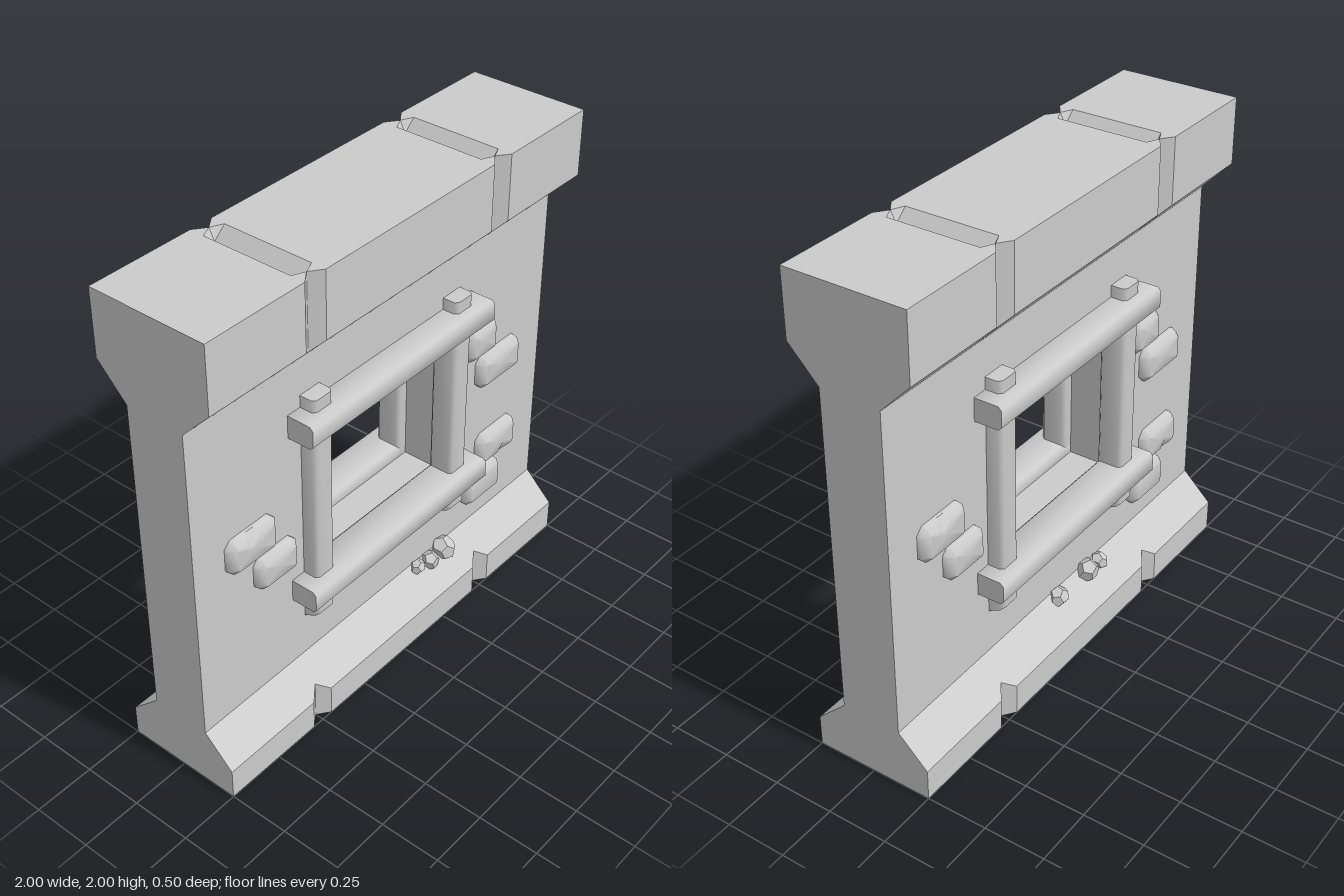
import * as THREE from 'three';
import { toCreasedNormals } from 'three/addons/utils/BufferGeometryUtils.js';

const grey = new THREE.MeshStandardMaterial({ color: 0xcccccc });
const faceted = new THREE.MeshStandardMaterial({ color: 0xcccccc, flatShading: true });
const shell = new THREE.MeshStandardMaterial({ color: 0xcccccc, side: THREE.DoubleSide });

function addMesh(group, name, geometry, material = grey) {
  const mesh = new THREE.Mesh(geometry, material);
  mesh.name = name;
  group.add(mesh);
  return mesh;
}

// Collects flat polygons (fans of corners) into one geometry
function polygons() {
  const out = [];
  return {
    face(corners, flip = false) {
      const c = flip ? [...corners].reverse() : corners;
      for (let i = 1; i < c.length - 1; i++) out.push(...c[0], ...c[i], ...c[i + 1]);
    },
    build() {
      const g = new THREE.BufferGeometry();
      g.setAttribute('position', new THREE.Float32BufferAttribute(out, 3));
      g.computeVertexNormals();
      return g;
    },
  };
}

// Front half of the wall: flared base and cap with V grooves, window opening
function wallHalf() {
  const p = polygons();
  const T = 0.125, D = 0.25, N = 0.213, hx = 0.4, y0 = 0.6, y1 = 1.35;
  const plain = { base: [[D, 0], [D, 0.13], [T, 0.25]], cap: [[T, 1.6], [D, 1.73], [D, 2]] };
  const cut = { base: [[N, 0], [N, 0.166], [T, 0.25]], cap: [[T, 1.6], [N, 1.692], [N, 2]] };
  const stations = [-1, -0.55, -0.5, -0.45, 0.45, 0.5, 0.55, 1];
  const isCut = (x) => Math.abs(x) === 0.5;

  for (let i = 0; i < stations.length - 1; i++) {
    const a = stations[i], b = stations[i + 1];
    const A = isCut(a) ? cut : plain, B = isCut(b) ? cut : plain;
    for (const part of ['base', 'cap']) {
      for (let k = 0; k < 2; k++) {
        const [s, t] = [A[part][k], A[part][k + 1]];
        const [u, v] = [B[part][k], B[part][k + 1]];
        p.face([[a, s[1], s[0]], [b, u[1], u[0]], [b, v[1], v[0]], [a, t[1], t[0]]]);
      }
    }
    // top surface, with a sunken groove at each cut
    if (!isCut(a) && !isCut(b)) {
      p.face([[a, 2, 0], [a, 2, D], [b, 2, D], [b, 2, 0]]);
    } else {
      const flip = isCut(a), side = flip ? b : a, tip = flip ? a : b;
      const rim = 0.19, low = 1.955;
      p.face([[side, 2, rim], [side, 2, D], [tip, 2, N]], flip);
      p.face([[side, 2, 0], [side, 2, rim], [tip, low, rim], [tip, low, 0]], flip);
      p.face([[side, 2, rim], [tip, 2, N], [tip, low, rim]], flip);
    }
  }

  // flat face around the opening
  const panel = (xa, xb, ya, yb) => p.face([[xa, ya, T], [xb, ya, T], [xb, yb, T], [xa, yb, T]]);
  panel(-1, 1, 0.25, y0);
  panel(-1, 1, y1, 1.6);
  panel(-1, -hx, y0, y1);
  panel(hx, 1, y0, y1);

  // sides, sill and head of the opening
  for (const s of [-1, 1]) {
    p.face([[s * hx, y0, 0], [s * hx, y1, 0], [s * hx, y1, T], [s * hx, y0, T]], s < 0);
  }
  p.face([[-hx, y0, 0], [-hx, y0, T], [hx, y0, T], [hx, y0, 0]]);
  p.face([[-hx, y1, 0], [-hx, y1, T], [hx, y1, T], [hx, y1, 0]], true);

  // end faces
  for (const x of [-1, 1]) {
    p.face([[x, 0, 0], [x, 0.25, 0], [x, 0.25, T], [x, 0.13, D], [x, 0, D]], x > 0);
    p.face([[x, 0.25, 0], [x, 1.6, 0], [x, 1.6, T], [x, 0.25, T]], x > 0);
    p.face([[x, 1.6, 0], [x, 2, 0], [x, 2, D], [x, 1.73, D], [x, 1.6, T]], x > 0);
  }
  return p.build();
}

// Rectangle outline with cut corners, anticlockwise
function cutRect(w, h, c) {
  const x = w / 2, y = h / 2;
  return [[x, -y + c], [x, y - c], [x - c, y], [-x + c, y],
    [-x, y - c], [-x, -y + c], [-x + c, -y], [x - c, -y]];
}

// Squared timber with chamfered long edges, running along z
function timber(w, h, length) {
  const shape = new THREE.Shape(cutRect(w, h, 0.014).map(([x, y]) => new THREE.Vector2(x, y)));
  return new THREE.ExtrudeGeometry(shape, { depth: length, bevelEnabled: false })
    .translate(0, 0, -length / 2);
}

// Raised stone with sloping edges, optionally chipped on its upper edge
function brick(w, h, chipped) {
  const bevel = 0.026;
  const outer = cutRect(w, h, 0.028);
  const inner = cutRect(w - 2 * bevel, h - 2 * bevel, 0.008);
  if (chipped) {
    const offsets = [0.01, -0.025, -0.06];
    outer.splice(3, 0, ...offsets.map((x) => [x, h / 2]));
    inner.splice(3, 0, ...offsets.map((x, i) => [x, h / 2 - bevel - (i === 1 ? 0.03 : 0)]));
  }
  const rings = [[outer, 0.1], [outer, 0.138], [inner, 0.165]]
    .map(([ring, z]) => ring.map(([x, y]) => [x, y, z]));
  const p = polygons(), n = outer.length;
  for (let i = 0; i < n; i++) {
    const j = (i + 1) % n;
    for (let k = 0; k < 2; k++) {
      p.face([rings[k][i], rings[k][j], rings[k + 1][j], rings[k + 1][i]]);
    }
    p.face([[0, 0, 0.165], rings[2][i], rings[2][j]]);
  }
  return toCreasedNormals(p.build(), 0.85);
}

// x, y, width, height, chip (1 = upper edge, -1 = lower edge)
const BRICKS = [
  [-0.73, 0.975, 0.24, 0.15, 1],
  [-0.61, 0.81, 0.21, 0.145, 0],
  [0.578, 1.15, 0.18, 0.15, 0],
  [0.7, 0.985, 0.26, 0.15, 0],
  [0.712, 0.59, 0.24, 0.15, -1],
  [0.625, 0.425, 0.23, 0.15, 0],
];

// x, y, radius of the loose stones on each face
const PEBBLES = [
  [[0.205, 0.245, 0.035], [0.28, 0.23, 0.046], [0.37, 0.24, 0.058]],
  [[-0.02, 0.235, 0.045], [0.18, 0.24, 0.056], [0.27, 0.232, 0.04]],
];

function buildFace(pebbles) {
  const face = new THREE.Group();
  addMesh(face, 'wall', wallHalf(), shell);

  // window frame: two posts with slanted feet behind two crossbeams
  for (const x of [-0.4, 0.395]) {
    const g = timber(0.1, 0.11, 1.03).rotateX(-Math.PI / 2).translate(x, 0.935, 0.135);
    const pos = g.attributes.position;
    for (let i = 0; i < pos.count; i++) {
      if (pos.getY(i) < 0.5) pos.setY(i, 0.42 + Math.max(0, pos.getZ(i) - 0.12) * 0.75);
    }
    addMesh(face, 'windowPost', toCreasedNormals(g, 0.85));
  }
  for (const y of [0.605, 1.353]) {
    const g = timber(0.16, 0.095, 1.03).rotateY(Math.PI / 2).translate(0, y, 0.16);
    addMesh(face, 'windowBeam', toCreasedNormals(g, 0.85));
  }

  for (const [x, y, w, h, chip] of BRICKS) {
    const mesh = addMesh(face, 'raisedBrick', brick(w, h, chip !== 0));
    mesh.position.set(x, y, 0);
    if (chip < 0) mesh.rotation.z = Math.PI;
  }

  pebbles.forEach(([x, y, r], i) => {
    const mesh = addMesh(face, 'pebble', new THREE.DodecahedronGeometry(r, 0), faceted);
    mesh.scale.set(1, 0.85, 0.9);
    mesh.position.set(x, y, 0.15);
    mesh.rotation.set(0.5 + i, 0.4 + i * 1.7, 0.3 + i * 0.8);
  });
  return face;
}

export function createModel() {
  const model = new THREE.Group();
  model.name = 'windowWall';
  PEBBLES.forEach((pebbles, i) => {
    const face = buildFace(pebbles);
    face.name = i ? 'backFace' : 'frontFace';
    face.rotation.y = i * Math.PI;
    model.add(face);
  });
  return model;
}
